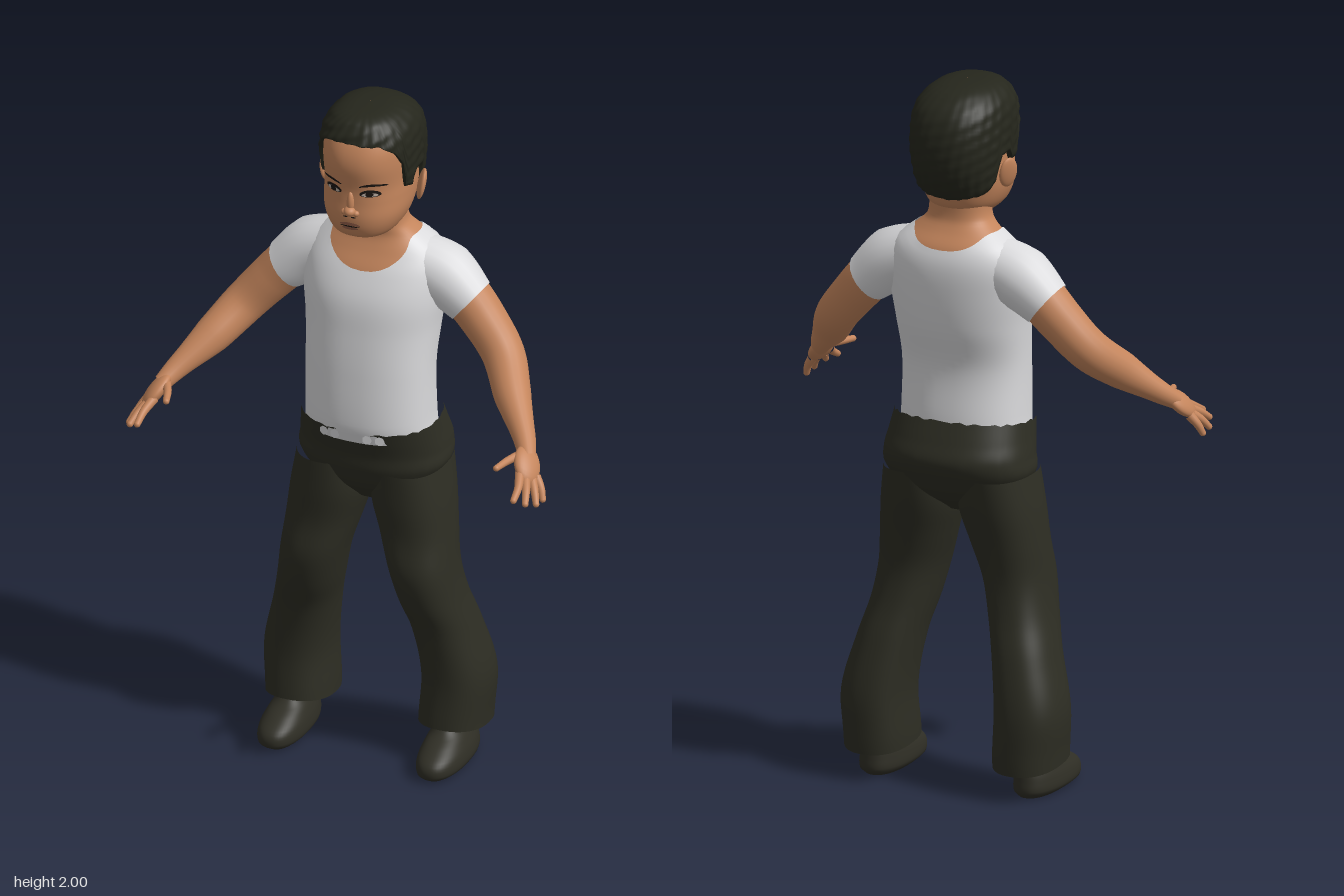
import * as THREE from 'three';

const mat = (name, color, side = THREE.FrontSide) => {
  const m = new THREE.MeshStandardMaterial({ color, side });
  m.name = name;
  return m;
};

// Body sections: [y, x0, x1, zBack, zFront]; sym() makes centred ones from a half width
const sym = rows => rows.map(([y, r, b, f]) => [y, -r, r, b, f]);
const HEAD = sym([
  [1.615, 0.05, -0.13, 0.0], [1.635, 0.08, -0.15, 0.06], [1.66, 0.1, -0.18, 0.08], [1.70, 0.115, -0.2, 0.088],
  [1.75, 0.12, -0.225, 0.084], [1.79, 0.12, -0.235, 0.083], [1.86, 0.122, -0.24, 0.092], [1.91, 0.118, -0.225, 0.08],
  [1.95, 0.1, -0.195, 0.05], [1.975, 0.06, -0.14, 0.0], [1.98, 0.001, -0.081, -0.079],
]);
const HAIR = sym([
  [1.66, 0.105, -0.18, 0.07], [1.71, 0.122, -0.218, 0.085], [1.77, 0.129, -0.246, 0.09], [1.84, 0.134, -0.254, 0.096],
  [1.90, 0.132, -0.244, 0.094], [1.94, 0.123, -0.222, 0.082], [1.97, 0.1, -0.185, 0.062], [1.985, 0.075, -0.15, 0.04],
  [1.993, 0.04, -0.11, 0.0], [1.995, 0.001, -0.061, -0.059],
]);
const TORSO = sym([
  [1.0, 0.183, -0.21, 0.07], [1.05, 0.18, -0.21, 0.08], [1.2, 0.18, -0.2, 0.073], [1.32, 0.188, -0.228, 0.06],
  [1.42, 0.2, -0.24, 0.045], [1.5, 0.2, -0.24, 0.012], [1.55, 0.175, -0.225, -0.018], [1.59, 0.125, -0.195, -0.035],
  [1.62, 0.096, -0.18, -0.03], [1.68, 0.09, -0.18, -0.02],
]);
const HIPS = sym([
  [0.78, 0.05, -0.13, -0.03], [0.84, 0.16, -0.21, 0.025], [0.9, 0.212, -0.25, 0.048], [0.95, 0.211, -0.266, 0.054],
  [1.0, 0.203, -0.248, 0.068], [1.06, 0.194, -0.222, 0.085],
]);
const LEG = [
  [0.08, 0.13, 0.32, -0.248, 0.002], [0.12, 0.13, 0.322, -0.25, -0.004], [0.25, 0.135, 0.328, -0.248, -0.014],
  [0.4, 0.115, 0.292, -0.217, 0.003], [0.5, 0.09, 0.266, -0.188, 0.038], [0.6, 0.066, 0.25, -0.175, 0.056],
  [0.7, 0.035, 0.24, -0.19, 0.042], [0.8, 0.008, 0.229, -0.215, 0.045], [0.9, 0.01, 0.212, -0.235, 0.045],
];
const SHOE = [
  [0, 0.185, 0.28, -0.175, 0.08], [0.015, 0.17, 0.298, -0.19, 0.1], [0.05, 0.17, 0.297, -0.19, 0.094],
  [0.08, 0.178, 0.285, -0.187, 0.045], [0.1, 0.185, 0.275, -0.183, 0.0], [0.14, 0.19, 0.265, -0.175, -0.04],
];

// Smooth section at height y
function sectionAt(rows, y) {
  const n = rows.length;
  let i = 0;
  while (i < n - 2 && y > rows[i + 1][0]) i++;
  const a = rows[i], b = rows[i + 1], p = rows[Math.max(0, i - 1)], q = rows[Math.min(n - 1, i + 2)];
  const h = b[0] - a[0], t = THREE.MathUtils.clamp((y - a[0]) / h, 0, 1);
  return [1, 2, 3, 4].map(k => {
    const m0 = (b[k] - p[k]) / (b[0] - p[0]) * h, m1 = (q[k] - a[k]) / (q[0] - a[0]) * h;
    return (2 * t ** 3 - 3 * t * t + 1) * a[k] + (t ** 3 - 2 * t * t + t) * m0
      + (3 * t * t - 2 * t ** 3) * b[k] + (t ** 3 - t * t) * m1;
  });
}

const POW = 0.86;
const soft = v => Math.sign(v) * Math.abs(v) ** POW;

// Closed skin through the sections, between two heights that may vary around the body
function shell(rows, { bottom, top, inset = 0, nu = 56, nv = 36, dome = false, tuck = 0, rough = 0 } = {}) {
  const pos = [], idx = [];
  const lo = bottom ?? (() => rows[0][0]), hi = top ?? (() => rows[rows.length - 1][0]);
  for (let i = 0; i <= nv; i++) for (let j = 0; j < nu; j++) {
    const a = j / nu * Math.PI * 2, t = i / nv;
    const y = lo(a) + (hi(a) - lo(a)) * (dome ? Math.sin(t * Math.PI / 2) : t);
    const [x0, x1, z0, z1] = sectionAt(rows, y);
    const bump = rough * (1 - t) * Math.sin(9 * a + 70 * y) * Math.sin(17 * a - 110 * y);
    const g = bump - inset - (i === 0 ? tuck : 0);
    pos.push((x0 + x1) / 2 + ((x1 - x0) / 2 + g) * soft(Math.sin(a)), y, (z0 + z1) / 2 + ((z1 - z0) / 2 + g) * soft(Math.cos(a)));
  }
  for (let i = 0; i < nv; i++) for (let j = 0; j < nu; j++) {
    const k = (j + 1) % nu, a = i * nu + j, b = i * nu + k;
    idx.push(a, b, a + nu, b, b + nu, a + nu);
  }
  // flat underside
  const [x0, x1, z0, z1] = sectionAt(rows, lo(Math.PI / 2)), base = pos.length / 3;
  if (!tuck) {
    pos.push(...pos.slice(0, nu * 3), (x0 + x1) / 2, lo(Math.PI / 2), (z0 + z1) / 2);
    for (let j = 0; j < nu; j++) idx.push(base + (j + 1) % nu, base + j, base + nu);
  }
  const g = new THREE.BufferGeometry();
  g.setAttribute('position', new THREE.Float32BufferAttribute(pos, 3));
  g.setIndex(idx);
  g.computeVertexNormals();
  return g;
}

// Round limb of changing radius along a smooth path
function limb(points, radii, segs = 24, sides = 20) {
  const curve = new THREE.CatmullRomCurve3(points.map(p => new THREE.Vector3(...p)));
  const g = new THREE.TubeGeometry(curve, segs, 1, sides), p = g.attributes.position, v = new THREE.Vector3();
  for (let i = 0; i <= segs; i++) {
    const c = curve.getPointAt(i / segs), f = i / segs * (radii.length - 1), k = Math.min(Math.floor(f), radii.length - 2);
    const r = THREE.MathUtils.lerp(radii[k], radii[k + 1], f - k);
    for (let j = 0; j <= sides; j++) {
      const n = i * (sides + 1) + j;
      v.fromBufferAttribute(p, n).sub(c).multiplyScalar(r).add(c);
      p.setXYZ(n, v.x, v.y, v.z);
    }
  }
  return g;
}

function faceZ(x, y) {
  const [, x1, z0, z1] = sectionAt(HEAD, y);
  const s = Math.min(1, Math.abs(x) / x1) ** (1 / POW);
  return (z0 + z1) / 2 + (z1 - z0) / 2 * Math.sqrt(1 - s * s) ** POW;
}

// Thin oval that follows the face
function decal(x, y, w, h, lift, bend = 0) {
  const g = new THREE.RingGeometry(0.001, 1, 24, 3), p = g.attributes.position;
  for (let i = 0; i < p.count; i++) {
    const u = p.getX(i), px = x + u * w, py = y + p.getY(i) * h - bend * u * u;
    p.setXYZ(i, px, py, faceZ(px, py) + lift);
  }
  g.computeVertexNormals();
  return g;
}

export function createModel() {
  const skin = mat('skin', 0xc4855c), shirt = mat('shirt', 0xdadadc, THREE.DoubleSide);
  const cloth = mat('trouserCloth', 0x2d2d23), hairMat = mat('hair', 0x25261c, THREE.DoubleSide);
  const leather = mat('shoeLeather', 0x2f2e25), dark = mat('eyeDark', 0x1c1612);
  const white = mat('eyeWhite', 0xb9aba0), lip = mat('lip', 0x96604a);
  const root = new THREE.Group();
  root.name = 'standingBoy';
  const add = (name, geo, m, parent = root) => {
    const mesh = new THREE.Mesh(geo, m);
    mesh.name = name;
    parent.add(mesh);
    return mesh;
  };
  const ball = (name, m, [x, y, z], [a, b, c]) => {
    const mesh = add(name, new THREE.SphereGeometry(1, 24, 16), m);
    mesh.position.set(x, y, z);
    mesh.scale.set(a, b, c);
    return mesh;
  };

  // Head, neck and hair
  add('head', shell(HEAD, { nv: 48 }), skin);
  add('neckAndChest', shell(TORSO, { bottom: () => 1.42, inset: 0.005 }), skin);
  const hairline = [[0, 1.93], [35, 1.925], [55, 1.895], [66, 1.85], [71, 1.77], [82, 1.765], [87, 1.8], [99, 1.8],
    [106, 1.73], [125, 1.69], [180, 1.675]];
  const hairBottom = a => {
    const d = Math.min(a, Math.PI * 2 - a) * 180 / Math.PI;
    const k = Math.max(1, hairline.findIndex(h => h[0] >= d - 1e-6));
    const [d0, y0] = hairline[k - 1], [d1, y1] = hairline[k];
    return THREE.MathUtils.lerp(y0, y1, (d - d0) / (d1 - d0));
  };
  add('hair', shell(HAIR, { bottom: hairBottom, dome: true, tuck: 0.018, rough: 0.004, nu: 120, nv: 44 }), hairMat);

  // Face
  ball('noseTip', skin, [0, 1.727, 0.088], [0.017, 0.014, 0.018]);
  ball('noseBridge', skin, [0, 1.75, 0.081], [0.011, 0.034, 0.013]);
  add('upperLip', decal(0, 1.688, 0.03, 0.005, 0.003, 0.003), lip);
  add('lowerLip', decal(0, 1.674, 0.024, 0.005, 0.003), lip);
  add('mouthLine', decal(0, 1.681, 0.03, 0.002, 0.004), dark);
  for (const s of [1, -1]) {
    ball('nostrilWing', skin, [s * 0.017, 1.722, 0.084], [0.01, 0.009, 0.011]);
    add('nostril', decal(s * 0.012, 1.711, 0.007, 0.002, 0.004), dark);
    add('eyeLashes', decal(s * 0.053, 1.785, 0.027, 0.011, 0.002, 0.003), dark);
    add('eyeWhite', decal(s * 0.053, 1.782, 0.021, 0.006, 0.003, 0.002), white);
    add('iris', decal(s * 0.053, 1.783, 0.01, 0.008, 0.004), dark);
    add('eyebrow', decal(s * 0.06, 1.812, 0.035, 0.004, 0.003, 0.007), dark);
    const ear = ball('ear', skin, [s * 0.138, 1.752, -0.09], [0.011, 0.045, 0.03]);
    ear.rotation.set(-0.15, s * 0.45, -s * 0.15);
  }

  // Shirt body with a scooped neckline
  const neckline = a => 1.592 - (Math.cos(a) > 0 ? 0.09 : 0.045) * Math.cos(a) ** 4;
  add('shirtBody', shell(TORSO, { top: neckline }), shirt);

  // Trousers
  const waist = a => 1.046 - 0.012 * Math.cos(a) + 0.003 * Math.sin(23 * a);
  add('trouserSeat', shell(HIPS, { top: waist }), cloth);
  for (const x of [-0.085, -0.05, 0.045, 0.08]) {
    const [, x1, z0, z1] = sectionAt(HIPS, 1.015);
    const c = Math.sqrt(1 - (Math.abs(x) / x1) ** (2 / POW)) ** POW;
    const patch = add('waistPatch', new THREE.CircleGeometry(0.014, 7), shirt);
    patch.position.set(x, 1.017, (z0 + z1) / 2 + (z1 - z0) / 2 * c + 0.005);
    patch.rotation.y = x * 2.5;
  }

  for (const s of [1, -1]) {
    const side = s > 0 ? 'left' : 'right';
    const flip = rows => s > 0 ? rows : rows.map(([y, a, b, c, d]) => [y, -b, -a, c, d]);
    const pts = list => list.map(([x, y, z]) => [s * x, y, z]);

    // Leg and shoe
    add(side + 'TrouserLeg', shell(flip(LEG), { bottom: a => 0.097 + 0.017 * Math.cos(a) }), cloth);
    add(side + 'Shoe', shell(flip(SHOE), { nv: 20 }), leather);

    // Sleeve and arm
    add(side + 'Sleeve', limb(pts([[0.1, 1.5, -0.12], [0.19, 1.468, -0.122], [0.272, 1.402, -0.118]]), [0.08, 0.09, 0.071]), shirt);
    add(side + 'Arm', limb(pts([[0.2, 1.46, -0.122], [0.25, 1.422, -0.12], [0.31, 1.358, -0.112], [0.38, 1.278, -0.085],
      [0.445, 1.2, 0.0], [0.515, 1.125, 0.085], [0.54, 1.095, 0.125]]),
    [0.07, 0.067, 0.062, 0.058, 0.052, 0.036, 0.024], 40), skin);

    // Hand: flattened palm, four fingers and a thumb
    const along = new THREE.Vector3(s * 0.035, -0.06, 0.08).normalize();
    const spread = new THREE.Vector3(s * 0.035, -0.025, -0.055);
    spread.addScaledVector(along, -spread.dot(along)).normalize();
    const palm = ball(side + 'Palm', skin, [s * 0.546, 1.084, 0.143], [0.06, 0.042, 0.021]);
    palm.quaternion.setFromRotationMatrix(new THREE.Matrix4().makeBasis(along, spread, along.clone().cross(spread)));
    const fingers = [
      ['Index', [0.54, 1.075, 0.178], [0.553, 1.052, 0.222], [0.555, 1.033, 0.26]],
      ['Middle', [0.554, 1.063, 0.172], [0.572, 1.042, 0.212], [0.583, 1.02, 0.244]],
      ['Ring', [0.566, 1.055, 0.158], [0.587, 1.03, 0.187], [0.6, 1.005, 0.208]],
      ['Little', [0.572, 1.053, 0.143], [0.592, 1.025, 0.155], [0.602, 0.999, 0.166]],
      ['Thumb', [0.53, 1.105, 0.12], [0.503, 1.102, 0.17], [0.487, 1.098, 0.218]],
    ];
    for (const [name, ...path] of fingers) {
      add(side + name + 'Finger', limb(pts(path), [0.014, 0.0115, 0.009], 8, 12), skin);
      ball(side + name + 'Tip', skin, pts(path)[2], [0.009, 0.009, 0.009]);
    }
  }
  return root;
}
